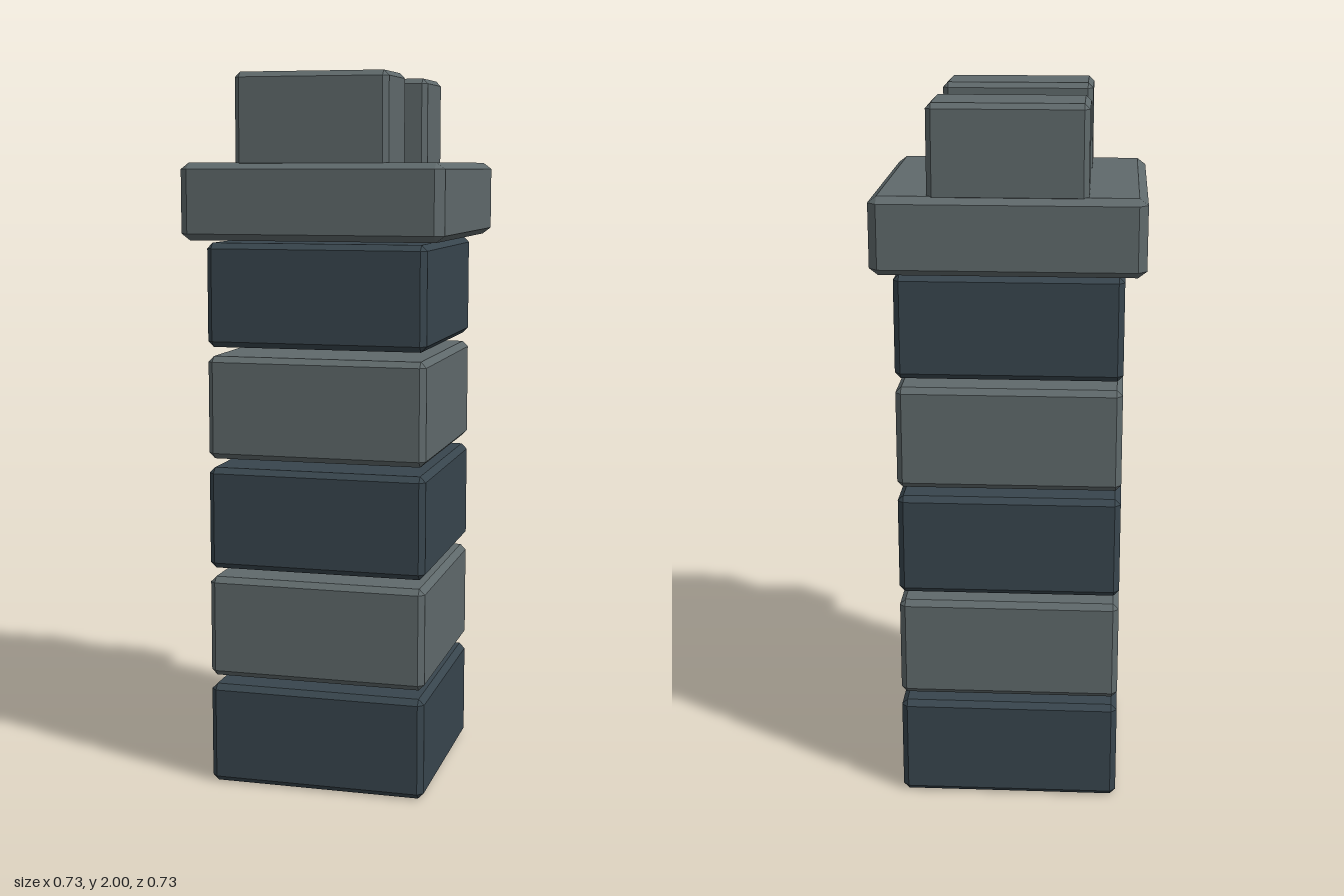
import * as THREE from 'three';
import { ConvexGeometry } from 'three/addons/geometries/ConvexGeometry.js';

const lightStone = new THREE.MeshStandardMaterial({ name: 'lightStone', color: 0x5f696b });
const darkStone = new THREE.MeshStandardMaterial({ name: 'darkStone', color: 0x38454d });

// Box with every edge and corner cut; the chamfer is given per axis
function chamferBox(w, h, d, cx, cy, cz) {
  const points = [];
  for (const sx of [-1, 1]) for (const sy of [-1, 1]) for (const sz of [-1, 1]) {
    const x = w / 2, y = h / 2, z = d / 2;
    points.push(
      new THREE.Vector3(sx * x, sy * (y - cy), sz * (z - cz)),
      new THREE.Vector3(sx * (x - cx), sy * y, sz * (z - cz)),
      new THREE.Vector3(sx * (x - cx), sy * (y - cy), sz * z)
    );
  }
  return new ConvexGeometry(points);
}

export function createModel() {
  const model = new THREE.Group();
  model.name = 'tower';

  function add(name, geometry, material, y, z = 0) {
    const mesh = new THREE.Mesh(geometry, material);
    mesh.name = name;
    mesh.position.set(0, y, z);
    model.add(mesh);
  }

  // Five separate courses in alternating stone
  const course = chamferBox(0.62, 0.288, 0.62, 0.016, 0.016, 0.016);
  for (let i = 0; i < 5; i++) {
    add(`course${i + 1}`, course, i % 2 ? lightStone : darkStone, 0.144 + i * 0.3135);
  }

  // Overhanging cap slab
  add('capSlab', chamferBox(0.733, 0.21, 0.733, 0.024, 0.018, 0.024), lightStone, 1.655);

  // Front and back battlements, seated slightly into the slab
  const battlement = chamferBox(0.425, 0.256, 0.213, 0.0145, 0.0145, 0.0145);
  add('frontBattlement', battlement, lightStone, 1.872, 0.24);
  add('backBattlement', battlement, lightStone, 1.872, -0.24);

  return model;
}
